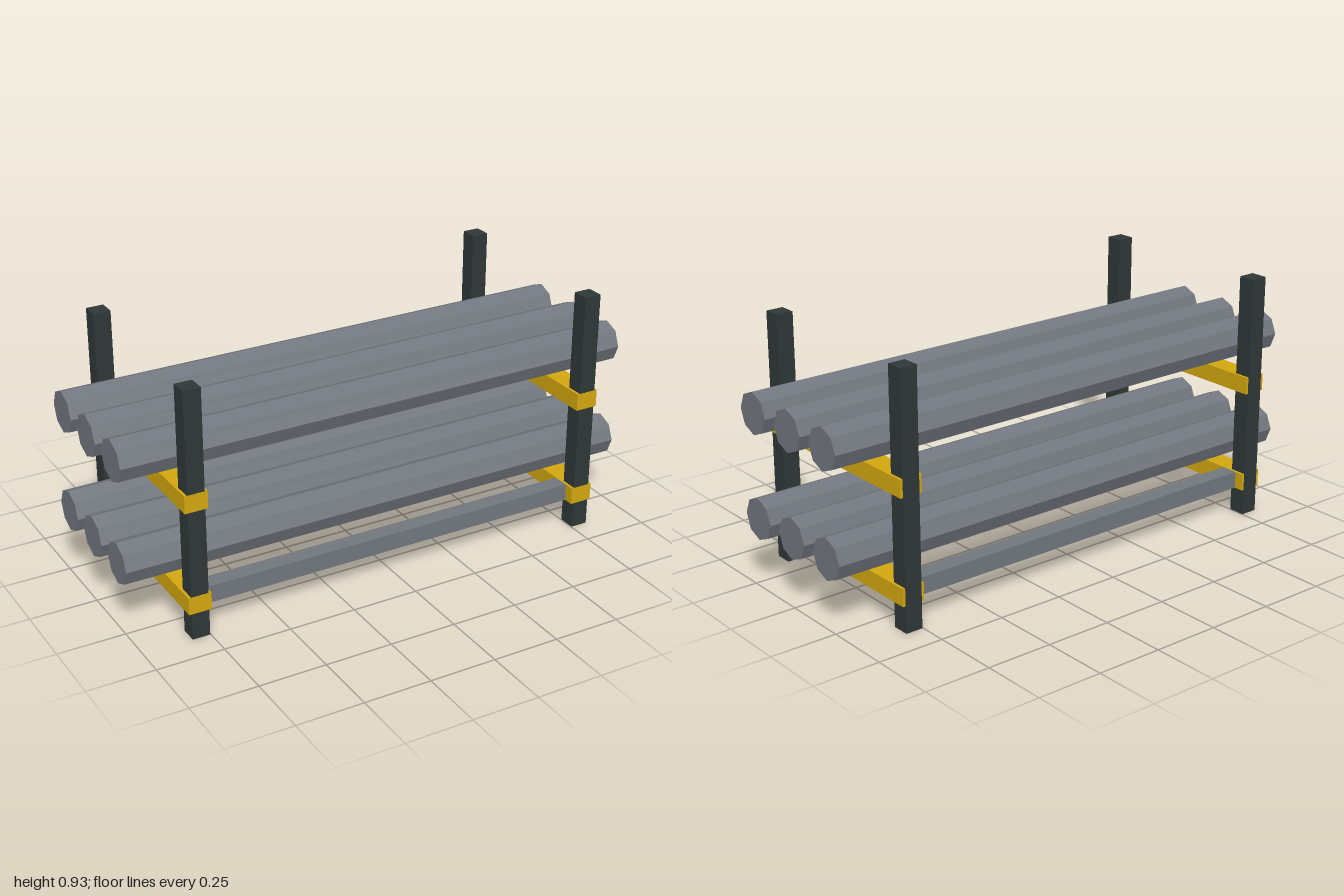
import * as THREE from 'three';

const paint = (name, color) => {
  const m = new THREE.MeshStandardMaterial({ color });
  m.name = name;
  return m;
};

export function createModel() {
  const model = new THREE.Group();
  model.name = 'pipeRack';
  const darkSteel = paint('darkSteel', 0x2f3737);
  const yellow = paint('safetyYellow', 0xd2a60f);
  const grey = paint('pipeGrey', 0x71767e);
  grey.flatShading = true;

  const add = (name, geometry, material, x, y, z) => {
    const mesh = new THREE.Mesh(geometry, material);
    mesh.name = name;
    mesh.position.set(x, y, z);
    model.add(mesh);
  };

  const postX = 0.785, postZ = 0.3625, postHeight = 0.925;
  const beamLevels = [0.1325, 0.518];
  const postGeometry = new THREE.BoxGeometry(0.065, postHeight, 0.065);
  const beamGeometry = new THREE.BoxGeometry(0.085, 0.065, 0.79);
  const railGeometry = new THREE.BoxGeometry(1.5, 0.064, 0.065);
  const pipeGeometry = new THREE.CylinderGeometry(0.078, 0.078, 2, 8).rotateZ(Math.PI / 2);

  // Uprights and the cross beams joining them
  for (const side of [-1, 1]) {
    for (const end of [-1, 1]) {
      add('post', postGeometry, darkSteel, side * postX, postHeight / 2, end * postZ);
    }
    // Slight forward offset keeps the beam ends off the post faces
    for (const y of beamLevels) add('crossBeam', beamGeometry, yellow, side * postX, y, 0.001);
  }

  // Long lower rails
  for (const end of [-1, 1]) add('lowerRail', railGeometry, grey, 0, 0.1325, end * 0.326);

  // Three octagonal pipes on each level
  for (const y of [0.257, 0.643]) {
    for (const z of [-0.21, 0, 0.21]) add('pipe', pipeGeometry, grey, 0, y, z);
  }
  return model;
}
